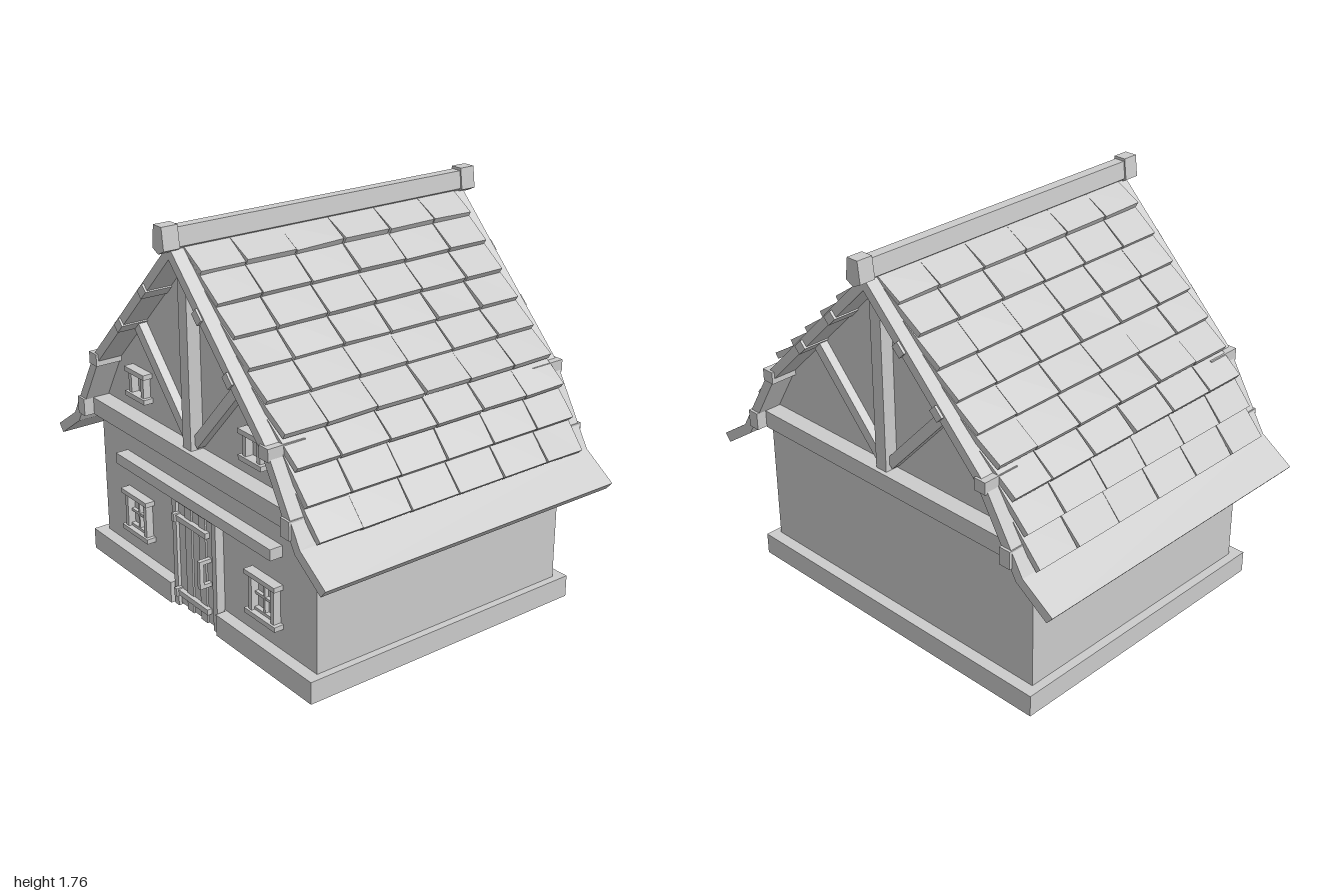
import * as THREE from 'three';

const mat = new THREE.MeshStandardMaterial({ color: 0xcccccc, flatShading: true });

function add(parent, name, geo) {
  const m = new THREE.Mesh(geo, mat);
  m.name = name;
  parent.add(m);
  return m;
}
// box given by its limits on each axis
function box(parent, name, x0, x1, y0, y1, z0, z1) {
  const m = add(parent, name, new THREE.BoxGeometry(x1 - x0, y1 - y0, z1 - z0));
  m.position.set((x0 + x1) / 2, (y0 + y1) / 2, (z0 + z1) / 2);
  return m;
}
// outline in x,y extruded from z0 to z1
function prism(parent, name, pts, z0, z1) {
  const shape = new THREE.Shape(pts.map(p => new THREE.Vector2(p[0], p[1])));
  const geo = new THREE.ExtrudeGeometry(shape, { depth: z1 - z0, bevelEnabled: false });
  geo.translate(0, 0, z0);
  return add(parent, name, geo);
}
// adds the mirrored half of an outline
const mirrored = pts => [...pts, ...pts.filter(p => p[0] !== 0).map(p => [-p[0], p[1]]).reverse()];

function group(parent, name) {
  const g = new THREE.Group();
  g.name = name;
  parent.add(g);
  return g;
}

let seed = 7;
const jitter = a => {
  seed = (seed * 16807) % 2147483647;
  return (seed / 2147483647 - 0.5) * 2 * a;
};

// slab surface, from the ridge down to the eave
const SURFACE = [[0, 1.68], [0.64, 1.04], [0.845, 0.7], [1, 0.595]];
const UNDERSIDE = [[0.97, 0.56], [0.81, 0.67], [0.605, 1.015], [0, 1.62]];
function surfaceX(y) {
  const i = y > 1.04 ? 0 : 1;
  const [a, b] = [SURFACE[i], SURFACE[i + 1]];
  return a[0] + (b[0] - a[0]) * (a[1] - y) / (a[1] - b[1]);
}

// overlapping tiles for one roof side: lower edge of every row
const ROWS = [[0.88, 0.725], [0.81, 0.85], [0.745, 0.98], [0.665, 1.09], [0.555, 1.19],
  [0.45, 1.29], [0.35, 1.39], [0.245, 1.495], [0.14, 1.6]];
const COLUMNS = [-0.705, -0.49, -0.245, 0, 0.245, 0.49, 0.705];

function tileSide(parent) {
  const side = group(parent, 'roofTiles');
  const thick = 0.028;
  ROWS.forEach(([bx, by], r) => {
    const ty = r < ROWS.length - 1 ? ROWS[r + 1][1] + 0.03 : 1.675;
    const tx = surfaceX(ty) + 0.004;
    const len = Math.hypot(bx - tx, ty - by);
    for (let c = 0; c < COLUMNS.length - 1; c++) {
      const w = COLUMNS[c + 1] - COLUMNS[c];
      const geo = new THREE.BoxGeometry(len, thick, w);
      geo.translate(-len / 2, -thick / 2, 0);
      // lower end slightly narrower and unevenly lifted
      const p = geo.attributes.position;
      const lift = [jitter(0.006), jitter(0.006)];
      const trim = [0.005 + jitter(0.003), 0.005 + jitter(0.003)];
      for (let i = 0; i < p.count; i++) {
        if (p.getX(i) < -0.001) continue;
        const k = p.getZ(i) > 0 ? 1 : 0;
        p.setY(i, p.getY(i) + lift[k]);
        p.setZ(i, p.getZ(i) + (k ? -trim[k] : trim[k]));
      }
      const tile = add(side, 'roofTile', geo);
      tile.position.set(bx, by, (COLUMNS[c] + COLUMNS[c + 1]) / 2);
      tile.rotation.z = Math.atan2(by - ty, bx - tx);
    }
  });
  return side;
}

// timber work on one gable
function gable(parent) {
  const g = group(parent, 'gableTimber');
  box(g, 'tieBeam', -0.73, 0.73, 0.72, 0.8, 0.64, 0.73);
  box(g, 'kingPost', -0.03, 0.03, 0.8, 1.64, 0.64, 0.71);
  for (const s of [-1, 1]) {
    const brace = box(g, 'brace', -0.275, 0.275, -0.024, 0.024, 0.64, 0.69);
    brace.position.x = s * 0.215;
    brace.position.y = 1.03;
    brace.rotation.z = s * 0.82;
    for (const [x, y, w, h, a] of [[0.2, 1.44, 0.055, 0.04, -0.785], [0.4, 1.24, 0.055, 0.04, -0.785],
      [0.632, 1.022, 0.06, 0.055, 0], [0.762, 0.76, 0.055, 0.08, 0]]) {
      const end = box(g, 'purlinEnd', -w / 2, w / 2, -h / 2, h / 2, 0.6, 0.775);
      end.position.x = s * x;
      end.position.y = y;
      end.rotation.z = s * a;
    }
  }
  return g;
}

// framed window standing on the front wall
function windowUnit(parent, cx, y0, y1, half, panes) {
  const g = group(parent, 'window');
  const zw = 0.65, bar = 0.022, inner = half - 0.018;
  box(g, 'windowSill', cx - half, cx + half, y0, y0 + bar, 0.64, 0.695);
  box(g, 'windowLintel', cx - half, cx + half, y1 - bar, y1, 0.64, 0.695);
  for (const s of [-1, 1]) {
    const x = cx + s * (inner - bar / 2);
    box(g, 'windowJamb', x - bar / 2, x + bar / 2, y0 + bar, y1 - bar, 0.64, 0.685);
  }
  if (!panes) return;
  const ym = (y0 + y1) / 2;
  for (const y of [y0 + bar + 0.006, y1 - bar - 0.006])
    box(g, 'sashRail', cx - inner + bar, cx + inner - bar, y - 0.007, y + 0.007, 0.64, zw + 0.02);
  box(g, 'mullion', cx - 0.006, cx + 0.006, y0 + bar, y1 - bar, 0.64, zw + 0.018);
  box(g, 'glazingBar', cx - inner + bar, cx + inner - bar, ym - 0.006, ym + 0.006, 0.64, zw + 0.016);
}

function door(parent) {
  const g = group(parent, 'door');
  box(g, 'doorJamb', -0.17, -0.14, 0, 0.525, 0.64, 0.69);
  box(g, 'doorJamb', 0.13, 0.16, 0, 0.525, 0.64, 0.69);
  box(g, 'doorHead', -0.14, 0.13, 0.505, 0.525, 0.64, 0.69);
  const tops = [0.495, 0.502, 0.498, 0.503, 0.496];
  const pw = 0.265 / 5;
  tops.forEach((t, i) => {
    const x = -0.137 + i * pw;
    box(g, 'doorPlank', x + 0.002, x + pw - 0.002, 0.012 - (i % 2) * 0.006, t, 0.64, 0.678 + (i % 2) * 0.005);
  });
  for (const y of [0.06, 0.42]) {
    box(g, 'hingeStrap', -0.14, 0.1, y + 0.002, y + 0.028, 0.67, 0.7);
    box(g, 'hingePin', -0.145, -0.125, y - 0.004, y + 0.034, 0.67, 0.71);
  }
  // looped handle
  box(g, 'handleGrip', 0.088, 0.108, 0.2, 0.33, 0.717, 0.737);
  box(g, 'handleMount', 0.088, 0.108, 0.2, 0.218, 0.67, 0.717);
  box(g, 'handleMount', 0.088, 0.108, 0.312, 0.33, 0.67, 0.717);
}

export function createModel() {
  const model = new THREE.Group();
  model.name = 'cottage';

  // plinth with a notch at the doorway
  const plinth = prism(model, 'plinth', [[-0.838, 0.705], [-0.838, -0.705], [0.83, -0.705], [0.83, 0.705],
    [0.17, 0.705], [0.17, 0.655], [-0.18, 0.655], [-0.18, 0.705]].map(([x, z]) => [x, -z]), 0, 0.1);
  plinth.rotation.x = -Math.PI / 2;

  prism(model, 'walls', mirrored([[0.797, 0.01], [0.797, 0.69], [0.62, 1.015], [0, 1.64]]), -0.65, 0.65);

  // roof slab, tiles and ridge
  const roof = group(model, 'roof');
  const outer = SURFACE.slice(1), inner = UNDERSIDE.slice(0, 3);
  const flip = pts => pts.map(([x, y]) => [-x, y]);
  prism(roof, 'roofSlab', [SURFACE[0], ...outer, ...inner, UNDERSIDE[3],
    ...flip(inner).reverse(), ...flip(outer).reverse()], -0.763, 0.765);
  tileSide(roof);
  tileSide(roof).rotation.y = Math.PI;
  prism(roof, 'ridgeBeam', mirrored([[0, 1.65], [0.033, 1.675], [0.024, 1.753]]), -0.745, 0.745);
  for (const z of [-0.81, 0.735])
    prism(roof, 'ridgeCap', mirrored([[0, 1.65], [0.041, 1.67], [0.029, 1.765]]), z, z + 0.075);

  gable(model);
  gable(model).rotation.y = Math.PI;

  // front openings
  box(model, 'frontLintel', -0.59, 0.575, 0.525, 0.575, 0.64, 0.71);
  windowUnit(model, -0.485, 0.2, 0.4, 0.105, true);
  windowUnit(model, 0.472, 0.2, 0.4, 0.105, true);
  windowUnit(model, -0.43, 0.875, 1.01, 0.077, false);
  windowUnit(model, 0.423, 0.875, 1.01, 0.077, false);
  door(model);
  return model;
}
